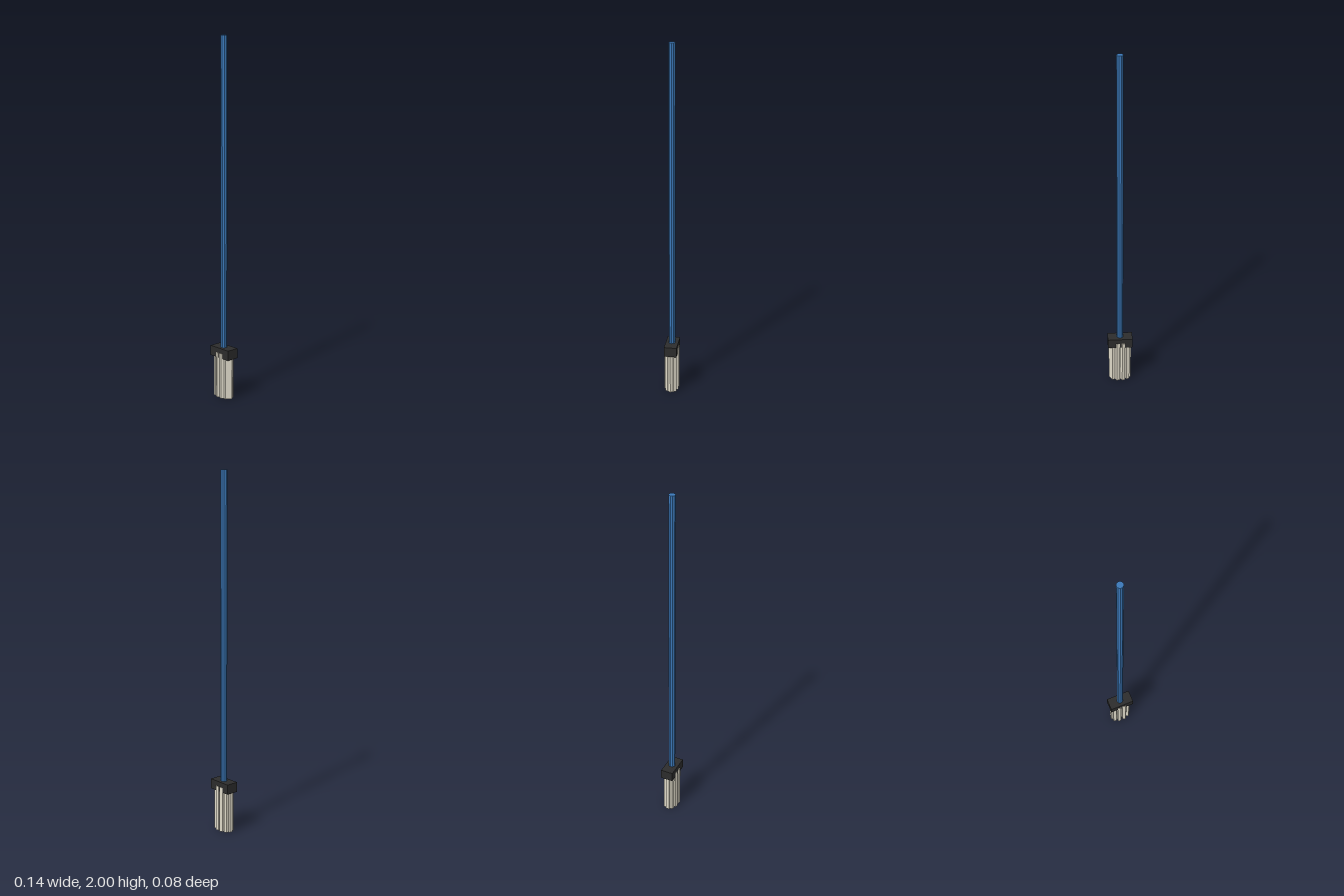
import * as THREE from 'three';

export function createModel() {
  const model = new THREE.Group();
  model.name = 'mop';
  const mat = (color) => new THREE.MeshStandardMaterial({ color, flatShading: true });
  const blue = mat(0x3b78b8), black = mat(0x2c2c2c), cream = mat(0xded9c8);

  const add = (name, geometry, material, x, y, z, parent = model) => {
    const mesh = new THREE.Mesh(geometry, material);
    mesh.name = name;
    mesh.position.set(x, y, z);
    parent.add(mesh);
  };

  // Upright prism with one corner pointing to +x
  const prism = (radius, height, sides) =>
    new THREE.CylinderGeometry(radius, radius, height, sides).rotateY(Math.PI / 2);

  // Long pole, seated in the clamp block
  add('handle', prism(0.0185, 1.74, 10), blue, 0, 1.13, 0);
  add('clampBlock', new THREE.BoxGeometry(0.142, 0.056, 0.071), black, 0, 0.26, 0);

  // Oval ring of five-sided strands hanging from the block
  const strands = new THREE.Group();
  strands.name = 'strands';
  model.add(strands);
  const count = 10, length = 0.26;
  const strand = prism(0.0155, length, 5);
  for (let i = 0; i < count; i++) {
    const a = (i / count) * Math.PI * 2;
    add('strand', strand, cream, 0.05 * Math.cos(a), length / 2, 0.0285 * Math.sin(a), strands);
  }
  return model;
}
